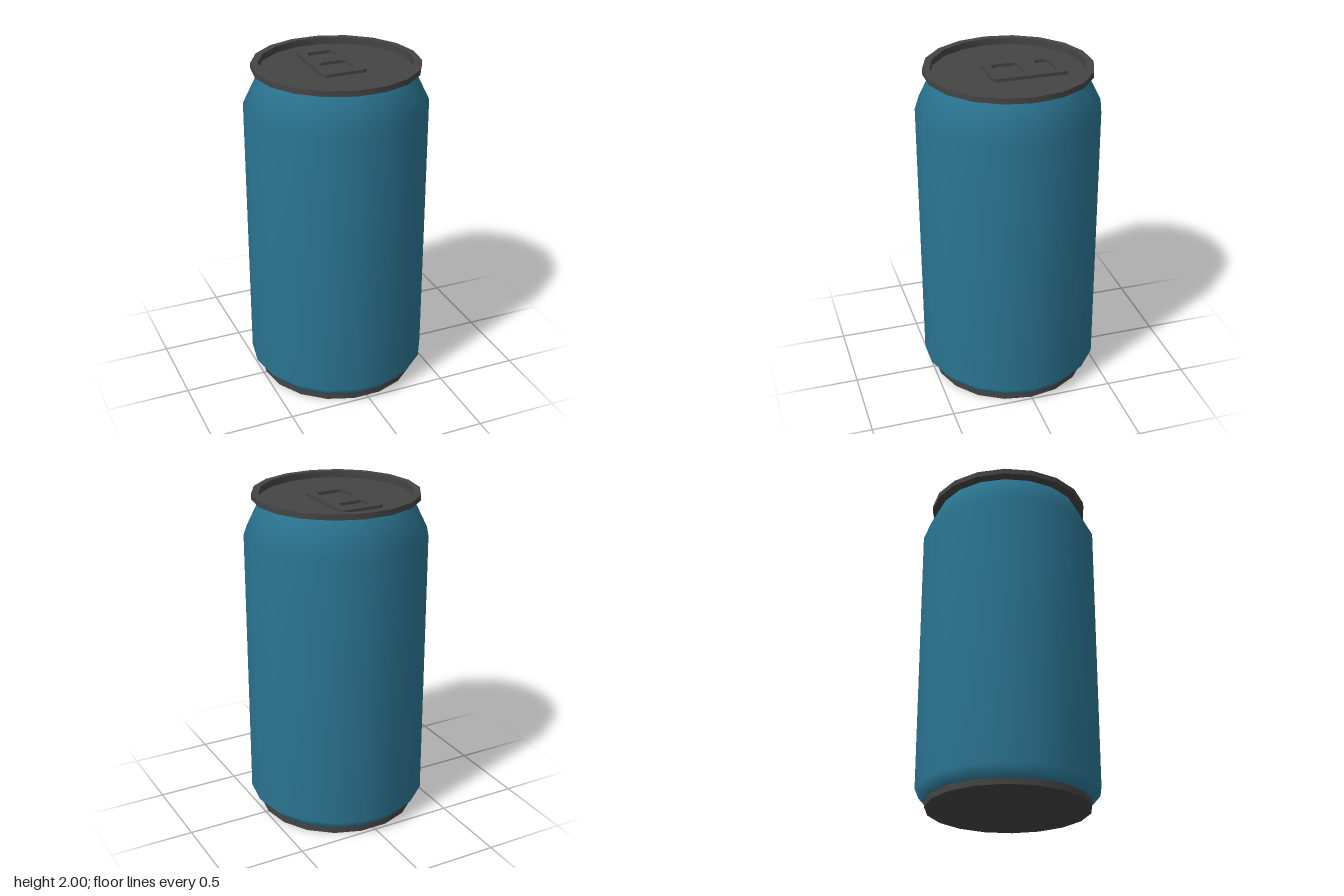
import * as THREE from 'three';
import { toCreasedNormals } from 'three/addons/utils/BufferGeometryUtils.js';

const SIDES = 18;

// Profile of [radius, height] pairs turned around the y axis, with a corner on +x
function turned(profile) {
  const points = profile.map(([r, y]) => new THREE.Vector2(r, y));
  return new THREE.LatheGeometry(points, SIDES, Math.PI / 2);
}

// Traces a rounded rectangle on a Shape or Path
function roundedRect(path, x0, y0, x1, y1, r) {
  path.moveTo(x0 + r, y0);
  path.lineTo(x1 - r, y0);
  path.quadraticCurveTo(x1, y0, x1, y0 + r);
  path.lineTo(x1, y1 - r);
  path.quadraticCurveTo(x1, y1, x1 - r, y1);
  path.lineTo(x0 + r, y1);
  path.quadraticCurveTo(x0, y1, x0, y1 - r);
  path.lineTo(x0, y0 + r);
  path.quadraticCurveTo(x0, y0, x0 + r, y0);
  return path;
}

export function createModel() {
  const group = new THREE.Group();
  group.name = 'drinkCan';
  const paint = new THREE.MeshStandardMaterial({ color: 0x2b7592 });
  const metal = new THREE.MeshStandardMaterial({ color: 0x444444 });

  const add = (name, geometry, material) => {
    const mesh = new THREE.Mesh(geometry, material);
    mesh.name = name;
    group.add(mesh);
    return mesh;
  };

  // Painted wall with tapered foot and shoulder
  add('body', turned([[0.48, 0.035], [0.54, 0.105], [0.54, 1.76], [0.445, 1.955]]), paint);

  // Flat foot
  add('base', toCreasedNormals(turned([[0, 0], [0.483, 0], [0.483, 0.037], [0.47, 0.037]]), 0.6), metal);

  // Raised rim around a sunken lid
  add('lid', toCreasedNormals(turned([
    [0.44, 1.953], [0.49, 1.967], [0.49, 2], [0.448, 2], [0.448, 1.96], [0, 1.96],
  ]), 0.25 + 0.15), metal);

  // Pull tab: rounded plate with two windows
  const plate = roundedRect(new THREE.Shape(), -0.132, -0.132, 0.137, 0.315, 0.03);
  plate.holes.push(
    roundedRect(new THREE.Path(), -0.081, 0.172, 0.086, 0.264, 0.035),
    roundedRect(new THREE.Path(), -0.081, -0.084, 0.086, 0.07, 0.035),
  );
  const tab = add('pullTab', new THREE.ExtrudeGeometry(plate, {
    depth: 0.018, bevelEnabled: false, curveSegments: 5,
  }), metal);
  tab.rotation.x = -Math.PI / 2;
  tab.position.y = 1.96;

  return group;
}
